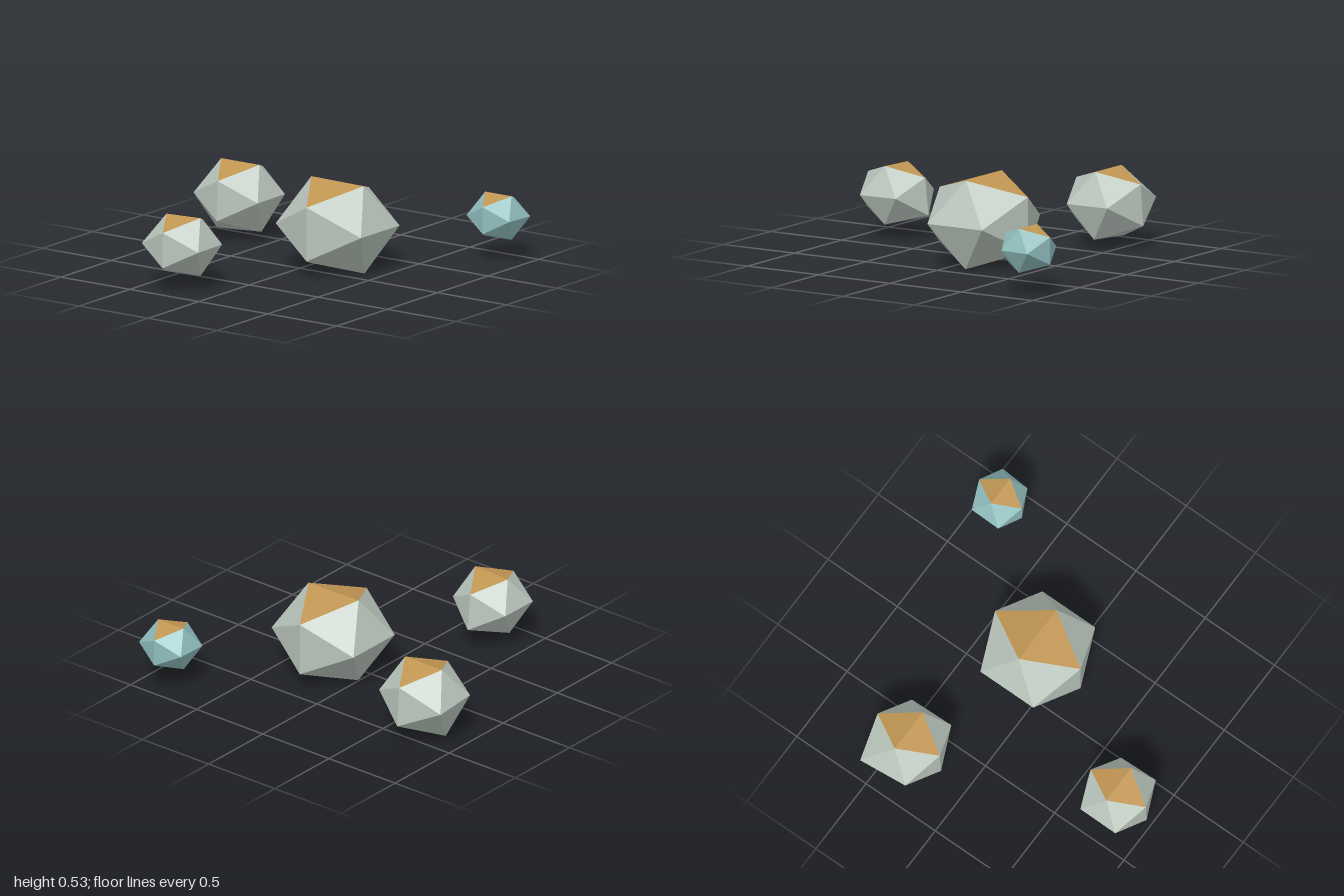
import * as THREE from 'three';

const stone = new THREE.MeshStandardMaterial({ color: 0xb8c4bb });
stone.name = 'paleStone';
const teal = new THREE.MeshStandardMaterial({ color: 0x8fbcbd });
teal.name = 'tealStone';
const ochre = new THREE.MeshStandardMaterial({ color: 0xc09552 });
ochre.name = 'ochreTop';

// Icosahedron corners; the first two form the top ridge
const T = (1 + Math.sqrt(5)) / 2;
const CORNERS = [
  [-1, T, 0], [1, T, 0], [-1, -T, 0], [1, -T, 0],
  [0, -1, T], [0, 1, T], [0, -1, -T], [0, 1, -T],
  [T, 0, -1], [T, 0, 1], [-T, 0, -1], [-T, 0, 1],
];
const TOP_FACES = [0, 5, 1, 0, 1, 7];
const SIDE_FACES = [
  0, 11, 5, 0, 7, 10, 0, 10, 11, 1, 5, 9, 5, 11, 4, 11, 10, 2,
  10, 7, 6, 7, 1, 8, 3, 9, 4, 3, 4, 2, 3, 2, 6, 3, 6, 8, 3, 8, 9,
  4, 9, 5, 2, 4, 11, 6, 2, 10, 8, 6, 7, 9, 8, 1,
];
const SQUASH = 0.85;

// Flat-faced rock; bulge pushes each corner in or out from the centre
function rockGeometry(size, bulge) {
  const positions = CORNERS.flatMap(([x, y, z], i) => {
    const r = size * bulge[i];
    return [x * r, y * r * SQUASH, z * r];
  });
  const indexed = new THREE.BufferGeometry();
  indexed.setAttribute('position', new THREE.Float32BufferAttribute(positions, 3));
  indexed.setIndex([...TOP_FACES, ...SIDE_FACES]);
  const geometry = indexed.toNonIndexed();
  geometry.computeVertexNormals();
  geometry.addGroup(0, TOP_FACES.length, 0);
  geometry.addGroup(TOP_FACES.length, SIDE_FACES.length, 1);
  return geometry;
}

const ROCKS = [
  { name: 'largeRock', at: [0.187, 0.271, -0.12], size: 0.191, body: stone,
    bulge: [1, 0.98, 0.995, 1.02, 1, 1, 1, 1, 1, 1, 1, 1] },
  { name: 'leftRock', at: [-0.72, 0.27, -0.395], size: 0.139, body: stone,
    bulge: [1, 1, 1.21, 1.1, 1.04, 1, 1.08, 1, 0.99, 1.02, 1.16, 1.04] },
  { name: 'frontRock', at: [-0.267, 0.27, 0.791], size: 0.1235, body: stone,
    bulge: [0.97, 1.02, 1.07, 1.03, 1.02, 1, 1.12, 1, 0.98, 1.01, 1.02, 1.03] },
  { name: 'tealRock', at: [0.819, 0.27, -0.848], size: 0.0955, body: teal,
    bulge: [1, 1, 1.02, 1, 1, 1, 1, 1, 1.03, 0.94, 1, 1.03] },
];

export function createModel() {
  const model = new THREE.Group();
  model.name = 'rockCluster';
  for (const { name, at, size, body, bulge } of ROCKS) {
    const rock = new THREE.Mesh(rockGeometry(size, bulge), [ochre, body]);
    rock.name = name;
    rock.position.set(...at);
    model.add(rock);
  }
  return model;
}
